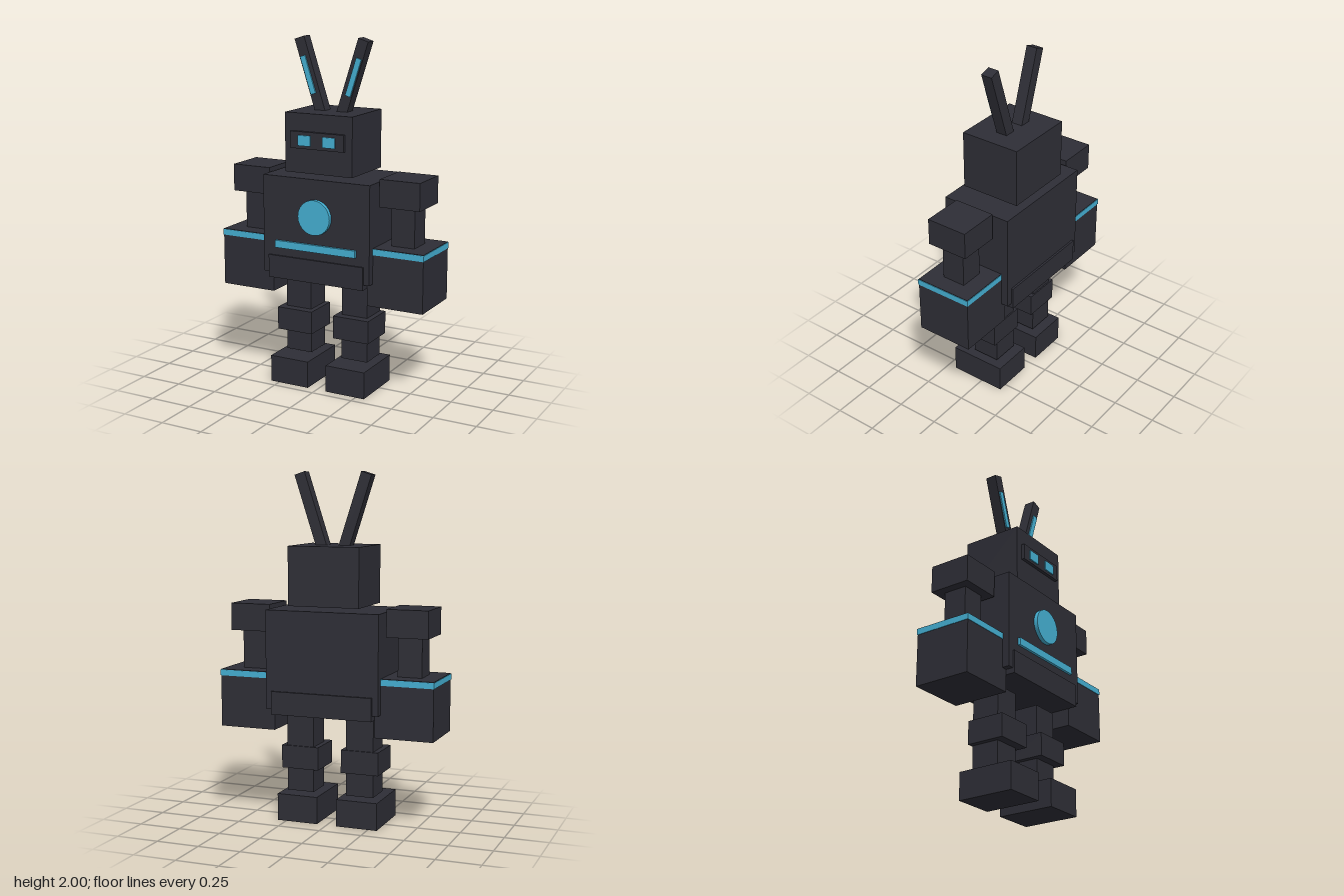
import * as THREE from 'three';

const dark = new THREE.MeshStandardMaterial({ color: 0x2e2e36 });
dark.name = 'charcoal';
const cyan = new THREE.MeshStandardMaterial({ color: 0x45b0d3 });
cyan.name = 'glowing cyan';

// Box given by its limits on each axis
function box(parent, name, material, [x0, x1], [y0, y1], [z0, z1]) {
  const mesh = new THREE.Mesh(new THREE.BoxGeometry(x1 - x0, y1 - y0, z1 - z0), material);
  mesh.position.set((x0 + x1) / 2, (y0 + y1) / 2, (z0 + z1) / 2);
  mesh.name = name;
  parent.add(mesh);
  return mesh;
}

// The same box on the model's left (+x) and right (-x)
function pair(parent, name, material, [x0, x1], y, z, tilt = 0) {
  for (const side of [1, -1]) {
    const label = (side > 0 ? 'left' : 'right') + name;
    const xs = side > 0 ? [x0, x1] : [-x1, -x0];
    box(parent, label, material, xs, y, z).rotation.z = -side * tilt;
  }
}

function section(root, name) {
  const group = new THREE.Group();
  group.name = name;
  root.add(group);
  return group;
}

export function createModel() {
  const root = new THREE.Group();
  root.name = 'robot';

  // Torso and hips
  const body = section(root, 'body');
  box(body, 'torso', dark, [-0.335, 0.335], [0.67, 1.232], [-0.218, 0.205]);
  box(body, 'pelvis', dark, [-0.3, 0.3], [0.64, 0.772], [-0.23, 0.215]);
  box(body, 'chestStripe', cyan, [-0.253, 0.253], [0.82, 0.862], [0.2, 0.22]);
  const core = new THREE.Mesh(new THREE.CylinderGeometry(0.1, 0.1, 0.03, 24), cyan);
  core.name = 'chestCore';
  core.rotation.x = Math.PI / 2;
  core.position.set(0, 1.02, 0.213);
  body.add(core);

  // Head with visor and eyes
  const head = section(root, 'head');
  box(head, 'skull', dark, [-0.21, 0.21], [1.255, 1.59], [-0.187, 0.17]);
  box(head, 'visor', dark, [-0.167, 0.167], [1.395, 1.49], [0.16, 0.189]);
  pair(head, 'Eye', cyan, [0.037, 0.116], [1.412, 1.47], [0.187, 0.196]);

  // Slanted ears with lit strips
  const tilt = 0.314;
  pair(head, 'Ear', dark, [0.1, 0.163], [1.561, 2.001], [-0.041, 0.025], tilt);
  pair(head, 'EarStrip', cyan, [0.126, 0.158], [1.674, 1.894], [0.024, 0.033], tilt);

  // Arms with heavy gauntlets and a cuff band round each
  const arms = section(root, 'arms');
  pair(arms, 'Shoulder', dark, [0.35, 0.59], [1.097, 1.253], [-0.13, 0.115]);
  pair(arms, 'UpperArm', dark, [0.4, 0.54], [0.86, 1.1], [-0.075, 0.064]);
  pair(arms, 'Gauntlet', dark, [0.301, 0.637], [0.54, 0.873], [-0.175, 0.161]);
  pair(arms, 'CuffBand', cyan, [0.298, 0.64], [0.836, 0.87], [-0.178, 0.164]);

  // Legs
  const legs = section(root, 'legs');
  pair(legs, 'Leg', dark, [0.1, 0.262], [0.172, 0.617], [-0.085, 0.079]);
  pair(legs, 'Knee', dark, [0.07, 0.293], [0.303, 0.436], [-0.093, 0.13]);
  pair(legs, 'Foot', dark, [0.059, 0.303], [0, 0.157], [-0.138, 0.197]);

  return root;
}
